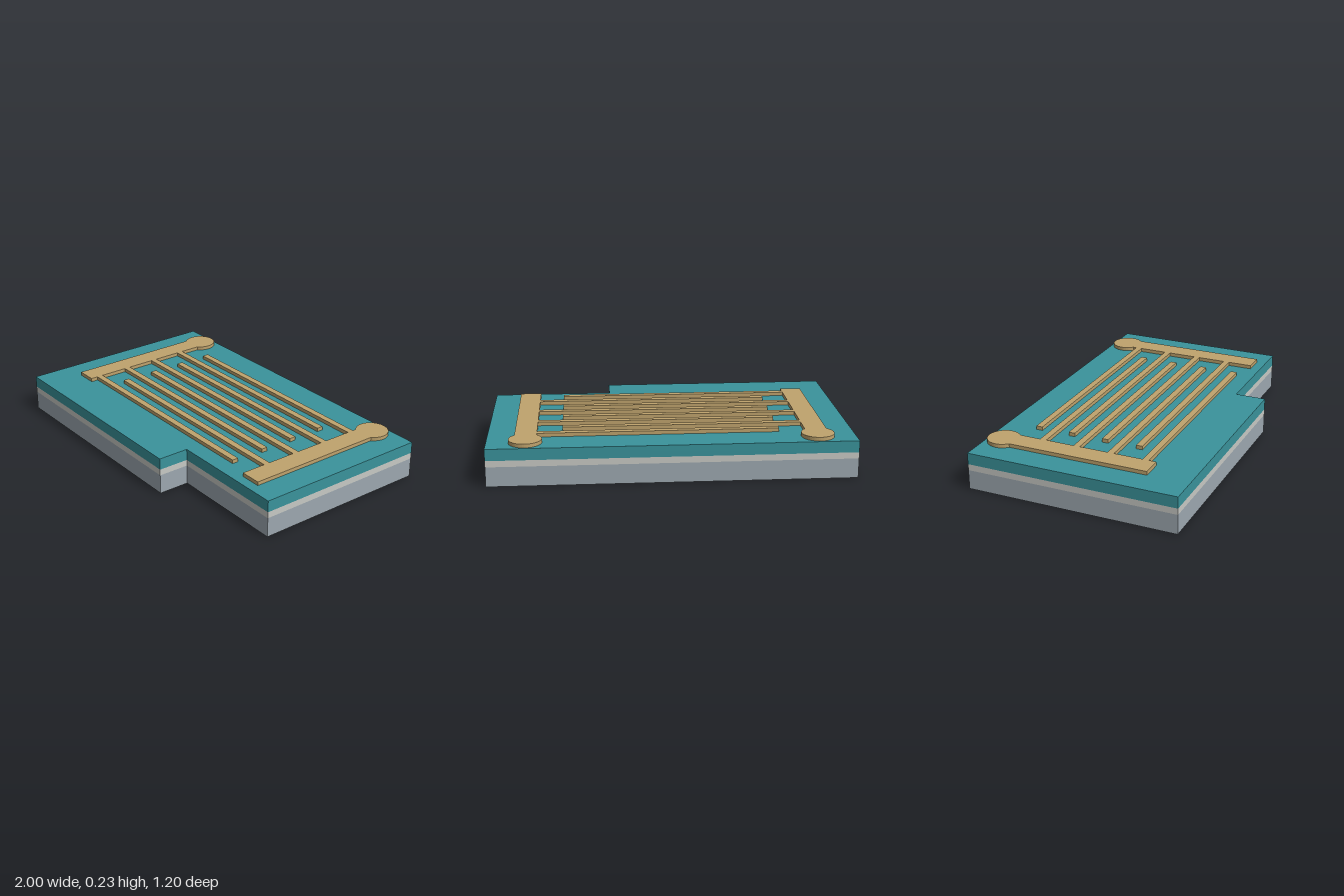
import * as THREE from 'three';

const material = (name, color) => {
  const m = new THREE.MeshStandardMaterial({ color });
  m.name = name;
  return m;
};

// Extrude an outline of [x, z] points upward from y = bottom to y = top
function slab(name, outline, bottom, top, mat) {
  const shape = new THREE.Shape(outline.map(([x, z]) => new THREE.Vector2(x, -z)));
  const geometry = new THREE.ExtrudeGeometry(shape, { depth: top - bottom, bevelEnabled: false });
  geometry.rotateX(-Math.PI / 2);
  geometry.translate(0, bottom, 0);
  const mesh = new THREE.Mesh(geometry, mat);
  mesh.name = name;
  return mesh;
}

// Comb electrode outline: bus bar, round contact pad at the back, four fingers.
// side is +1 or -1; the fingers reach towards the opposite side.
function combOutline(side, firstFingerZ) {
  const barX = 0.79, halfBar = 0.06, frontZ = 0.367;
  const padZ = -0.5, padR = 0.09, tipX = -0.592, halfFinger = 0.0185;
  const points = [[barX - halfBar, frontZ], [barX + halfBar, frontZ]];

  // Pad arc, from the outer edge of the bar around the back to the inner edge
  const start = Math.acos(halfBar / padR), steps = 36;
  for (let i = 0; i <= steps; i++) {
    const a = start - (i / steps) * (Math.PI + 2 * start);
    points.push([barX + padR * Math.cos(a), padZ + padR * Math.sin(a)]);
  }

  // Fingers along the inner edge, back to front
  for (let i = 0; i < 4; i++) {
    const z = firstFingerZ + i * 0.2;
    points.push(
      [barX - halfBar, z - halfFinger], [tipX, z - halfFinger],
      [tipX, z + halfFinger], [barX - halfBar, z + halfFinger]
    );
  }
  return points.map(([x, z]) => [side * x, z]);
}

export function createModel() {
  const group = new THREE.Group();
  group.name = 'interdigitatedSensorChip';

  const grey = material('substrate grey', 0x9da8b0);
  const pale = material('insulator pale grey', 0xc8cac5);
  const teal = material('film teal', 0x3a939b);
  const gold = material('electrode gold', 0xbfa36d);

  // Stacked layers sharing a rectangle with one notched corner
  const footprint = [[-1, -0.6], [1, -0.6], [1, 0.423], [0.317, 0.423], [0.317, 0.6], [-1, 0.6]];
  group.add(
    slab('substrate', footprint, 0, 0.11, grey),
    slab('insulatorLayer', footprint, 0.11, 0.145, pale),
    slab('activeFilm', footprint, 0.145, 0.21, teal)
  );

  // Two interleaved comb electrodes
  group.add(
    slab('leftCombElectrode', combOutline(1, -0.393), 0.21, 0.231, gold),
    slab('rightCombElectrode', combOutline(-1, -0.293), 0.21, 0.231, gold)
  );
  return group;
}
